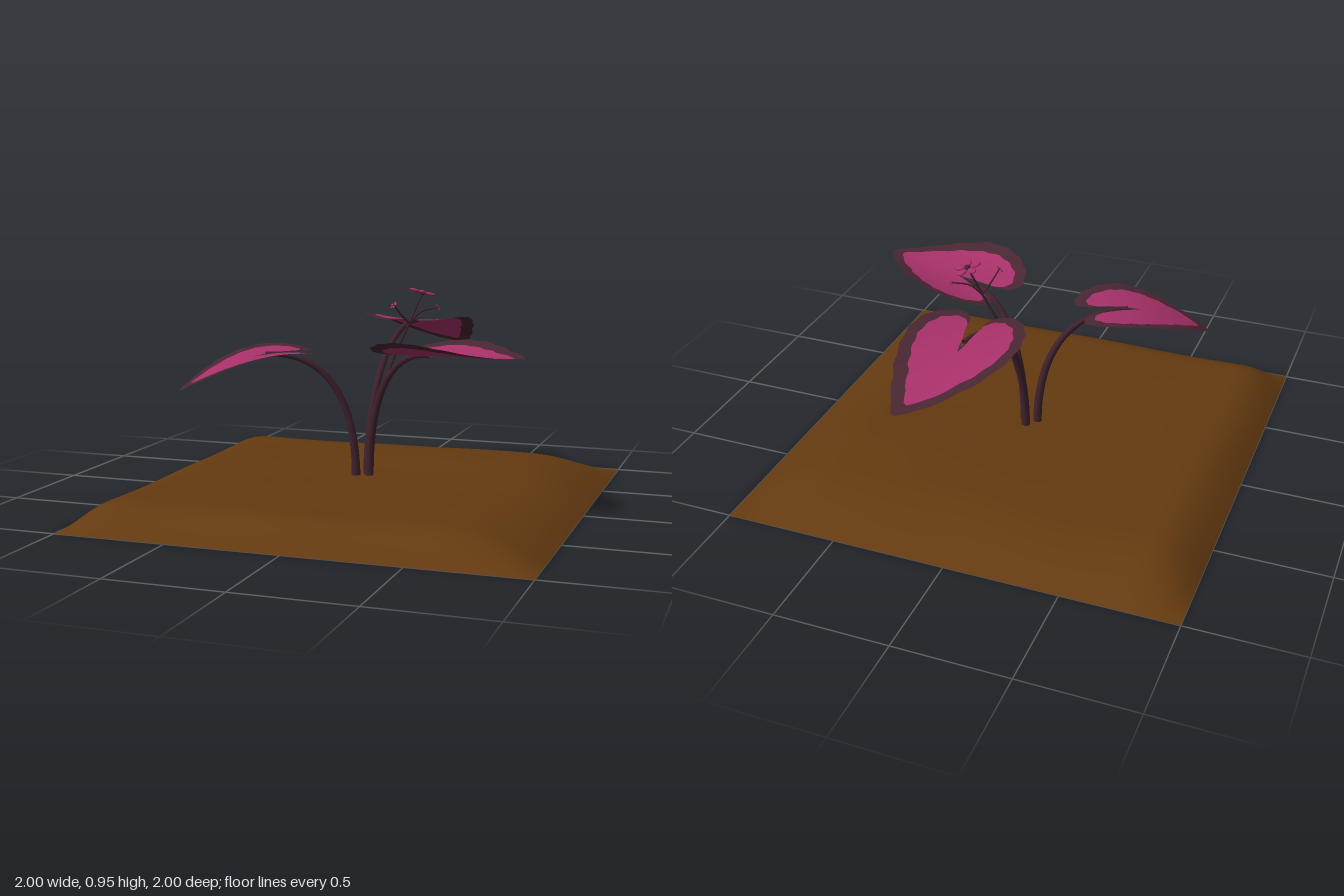
import * as THREE from 'three';

const mat = (name, color, side = THREE.FrontSide) => {
  const m = new THREE.MeshStandardMaterial({ color, side });
  m.name = name;
  return m;
};

// Half of a heart-shaped blade from notch to tip: along the midrib, across it
const HALF = [[0.07, 0], [-0.21, 0.12], [-0.45, 0.19], [-0.55, 0.4], [-0.46, 0.72], [-0.22, 0.94], [0.07, 1], [0.4, 0.85], [0.7, 0.53], [1, 0]];
const HEART = [...HALF.map(([u, v]) => [u, -v]), ...HALF.slice(1, -1).reverse()];

// attach: stalk end; angle: midrib heading; bend: sideways shift of the tip;
// slope, droop, tilt, cup: height along and across the blade
const LEAVES = [
  { name: 'backLeaf', attach: [0.1, 0.77, -0.5], angle: -Math.PI / 2, length: 0.4, width: 0.25, bend: 0.13, slope: -0.18, droop: -0.49, tilt: -0.02, cup: 0.4 },
  { name: 'rightLeaf', attach: [-0.39, 0.67, 0.2], angle: 2.58, length: 0.38, width: 0.215, bend: 0, slope: -0.14, droop: -0.65, tilt: 0, cup: 0.4 },
  { name: 'leftLeaf', attach: [0.36, 0.69, 0.17], angle: 0.38, length: 0.455, width: 0.25, bend: -0.04, slope: 0.05, droop: 0, tilt: 0.06, cup: 1 },
];

// Tube that narrows evenly from r0 to r1
function taperedTube(curve, r0, r1, segments = 18) {
  const sides = 8;
  const g = new THREE.TubeGeometry(curve, segments, 1, sides);
  const pos = g.attributes.position;
  const v = new THREE.Vector3();
  for (let i = 0; i < pos.count; i++) {
    const t = Math.floor(i / (sides + 1)) / segments;
    const c = curve.getPointAt(t);
    v.fromBufferAttribute(pos, i).sub(c).multiplyScalar(r0 + (r1 - r0) * t).add(c);
    pos.setXYZ(i, v.x, v.y, v.z);
  }
  return g;
}
const through = (...points) => new THREE.CatmullRomCurve3(points.map((p) => new THREE.Vector3(...p)));

// Closed, slightly ruffled outline of a blade in its own flat coordinates
function bladeRim({ length, width }) {
  const points = HEART.map(([u, v]) => new THREE.Vector3(u * (u > 0 ? length : 0.4), v * width, 0));
  const rim = new THREE.CatmullRomCurve3(points, true).getPoints(108).slice(0, -1);
  rim.forEach((p, i) => p.multiplyScalar(1 + 0.014 * Math.sin(i * 1.3)));
  return rim;
}

// Ring-shaped part of a blade between two scales of its rim
function bladeBand(leaf, rim, from, to, rings) {
  const { attach, angle, length, bend, slope, droop, tilt, cup } = leaf;
  const n = rim.length, pos = [], index = [], middle = 0.08;
  const cos = Math.cos(angle), sin = Math.sin(angle);
  for (let j = 0; j <= rings; j++) {
    for (const p of rim) {
      const r = Math.hypot(p.x - middle, p.y);
      const s = THREE.MathUtils.lerp(from(r), to(r), j / rings);
      const u = middle + (p.x - middle) * s;
      const v = p.y * s + bend * (Math.max(0, u) / length) ** 2;
      pos.push(
        attach[0] + u * cos - v * sin,
        attach[1] + slope * u + droop * u * u + tilt * v + cup * v * v,
        attach[2] + u * sin + v * cos,
      );
    }
  }
  for (let j = 0; j < rings; j++) {
    for (let i = 0; i < n; i++) {
      const a = j * n + i, b = j * n + ((i + 1) % n);
      index.push(a, b + n, a + n, a, b, b + n);
    }
  }
  const g = new THREE.BufferGeometry();
  g.setAttribute('position', new THREE.Float32BufferAttribute(pos, 3));
  g.setIndex(index);
  g.computeVertexNormals();
  return g;
}

// Stalk that rises from the soil and arches over to the blade
function stalkCurve([x, y, z]) {
  const k = 0.035 / Math.hypot(x, z);
  return new THREE.CubicBezierCurve3(
    new THREE.Vector3(x * k, 0.1, z * k),
    new THREE.Vector3(x * k, 0.47, z * k),
    new THREE.Vector3(x * 0.4, y + 0.01, z * 0.4),
    new THREE.Vector3(x, y, z),
  );
}

// Mound height: rounded off to zero at the borders, with gentle bumps
function soilHeight(x, z) {
  const ease = (d, w) => 1 - (1 - Math.min(1, d / w)) ** 2;
  const edge = ease(1 + x, 0.22) * ease(1 - x, 0.36) * ease(1 - z, 0.22) * ease(1 + z, 0.36);
  const bump = 0.03 * Math.exp(-((x - 0.4) ** 2 + (z + 0.4) ** 2) / 0.08);
  return edge * (0.113 + bump + 0.006 * Math.sin(7 * x + 2 * z) * Math.cos(6 * z - x));
}

export function createModel() {
  const soil = mat('soil brown', 0x643a10);
  const pink = mat('leaf pink', 0xa63069, THREE.DoubleSide);
  const margin = mat('leaf margin plum', 0x482632, THREE.DoubleSide);
  const stemMat = mat('stem plum', 0x40222e, THREE.DoubleSide);
  const model = new THREE.Group();
  const group = (parent, name) => {
    const g = new THREE.Group();
    g.name = name;
    parent.add(g);
    return g;
  };
  const add = (parent, name, geometry, material) => {
    const m = new THREE.Mesh(geometry, material);
    m.name = name;
    parent.add(m);
  };

  // Soil mound and its flat underside
  const ground = new THREE.PlaneGeometry(2, 2, 48, 48).rotateX(-Math.PI / 2);
  const gp = ground.attributes.position;
  for (let i = 0; i < gp.count; i++) gp.setY(i, soilHeight(gp.getX(i), gp.getZ(i)));
  ground.computeVertexNormals();
  add(model, 'soilMound', ground, soil);
  add(model, 'soilUnderside', new THREE.PlaneGeometry(2, 2).rotateX(Math.PI / 2), soil);

  // Leaves: pink blade, dark margin of even width, arching stalk
  const core = () => 0.001, full = () => 1;
  const inner = (r) => Math.max(0.35, 1 - 0.052 / r);
  for (const spec of LEAVES) {
    const leaf = group(model, spec.name);
    const rim = bladeRim(spec);
    add(leaf, 'blade', bladeBand(spec, rim, core, inner, 6), pink);
    add(leaf, 'bladeMargin', bladeBand(spec, rim, inner, full, 2), margin);
    add(leaf, 'stalk', taperedTube(stalkCurve(spec.attach), 0.021, 0.011), stemMat);
  }

  // Flower stem with two side branches
  const flowerStem = group(model, 'flowerStem');
  const top = [0.225, 0.932, -0.16], fork = [0.175, 0.795, -0.122];
  const rightBud = [0.13, 0.882, -0.03], leftBud = [0.29, 0.863, -0.19];
  add(flowerStem, 'mainStem', taperedTube(through([0.012, 0.1, -0.005], [0.04, 0.35, -0.03], [0.1, 0.6, -0.075], fork, top), 0.011, 0.004), stemMat);
  add(flowerStem, 'rightBranch', taperedTube(through(fork, [0.155, 0.83, -0.08], rightBud), 0.005, 0.003, 8), stemMat);
  add(flowerStem, 'leftBranch', taperedTube(through(fork, [0.22, 0.845, -0.15], leftBud), 0.005, 0.003, 8), stemMat);

  // Small five-petalled blossoms
  const blossom = (name, at, size, tiltX, tiltZ) => {
    const f = group(flowerStem, name);
    f.position.set(...at);
    f.rotation.set(tiltX, 0, tiltZ);
    for (let i = 0; i < 5; i++) {
      const petal = new THREE.SphereGeometry(size, 10, 6).scale(0.42, 0.12, 0.3)
        .translate(size * 0.62, 0, 0).rotateY((i * Math.PI * 2) / 5);
      add(f, 'petal', petal, pink);
    }
    add(f, 'flowerCentre', new THREE.SphereGeometry(size * 0.22, 10, 8), margin);
  };
  blossom('topFlower', top, 0.06, -0.2, -0.2);
  blossom('rightBlossom', rightBud, 0.02, 0.7, 0.5);
  blossom('leftBlossom', leftBud, 0.02, -0.5, -0.9);
  return model;
}
